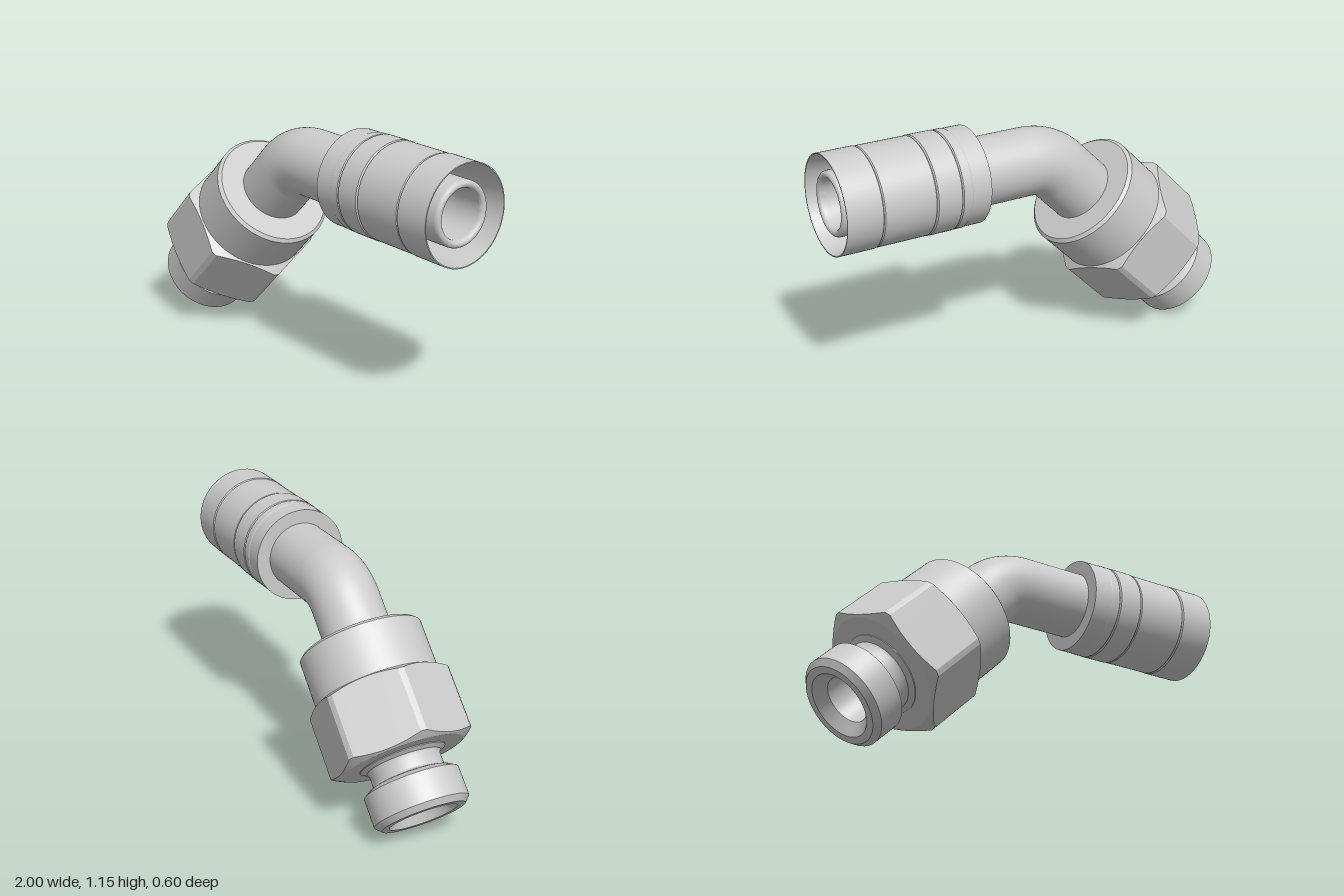
import * as THREE from 'three';
import { toCreasedNormals } from 'three/addons/utils/BufferGeometryUtils.js';

const SEG = 72;
const grey = new THREE.MeshStandardMaterial({ color: 0xcccccc });
const thin = new THREE.MeshStandardMaterial({ color: 0xcccccc, side: THREE.DoubleSide });

function add(parent, name, geometry, material = grey) {
  const mesh = new THREE.Mesh(geometry, material);
  mesh.name = name;
  parent.add(mesh);
  return mesh;
}

// profile: [radius, height] pairs, outside running upwards
function turned(profile) {
  const pts = profile.map(([r, h]) => new THREE.Vector2(r, h));
  return toCreasedNormals(new THREE.LatheGeometry(pts, SEG), 0.5);
}

// Hexagon with blunted corners and conically chamfered ends
function hexNut(bottom, top, apothem, blunt, turn) {
  const n = 144, slope = 0.5, seat = 0.278, hole = 0.12;
  const rows = [
    () => [hole, bottom], () => [seat, bottom],
    r => [r, bottom + slope * (r - seat)], r => [r, top - slope * (r - seat)],
    () => [seat, top], () => [hole, top],
  ];
  const pos = [], index = [];
  for (const row of rows) {
    for (let i = 0; i < n; i++) {
      const a = (i / n) * Math.PI * 2;
      const fromFlat = (a % (Math.PI / 3)) - Math.PI / 6;
      const [r, y] = row(Math.min(apothem / Math.cos(fromFlat), blunt));
      pos.push(r * Math.cos(a + turn), y, r * Math.sin(a + turn));
    }
  }
  for (let j = 0; j < rows.length - 1; j++) {
    for (let i = 0; i < n; i++) {
      const a = j * n + i, b = j * n + (i + 1) % n, c = a + n, d = b + n;
      index.push(a, c, b, b, c, d);
    }
  }
  const g = new THREE.BufferGeometry();
  g.setAttribute('position', new THREE.Float32BufferAttribute(pos, 3));
  g.setIndex(index);
  return toCreasedNormals(g, 0.2);
}

// Centre line: straight, 45 degree bend, straight
function centreLine(start, endX) {
  const v = (x, y) => new THREE.Vector3(x, y, 0);
  const corner = v(-0.075, 0.925), bendIn = v(-0.149, 0.851), bendOut = v(0.03, 0.925);
  const path = new THREE.CurvePath();
  path.add(new THREE.LineCurve3(v(...start), bendIn));
  path.add(new THREE.QuadraticBezierCurve3(bendIn, corner, bendOut));
  path.add(new THREE.LineCurve3(bendOut, v(endX, 0.925)));
  return path;
}

export function createModel() {
  const model = new THREE.Group();
  model.name = 'elbowHoseFitting';

  // Bent pipe and its bore
  add(model, 'bentPipe', new THREE.TubeGeometry(centreLine([-0.35, 0.65], 0.4), 100, 0.157, SEG));
  add(model, 'bore', new THREE.TubeGeometry(centreLine([-0.83, 0.17], 0.95), 140, 0.11, SEG), thin);

  // Angled end: threaded plug, nut and collar share one tilted axis
  const angled = new THREE.Group();
  angled.name = 'angledEnd';
  angled.position.set(-0.5, 0.5, 0);
  angled.rotation.z = -Math.PI / 4;
  model.add(angled);

  add(angled, 'threadedPlug', turned([
    [0.11, -0.46], [0.155, -0.516], [0.19, -0.516], [0.216, -0.49], [0.216, -0.36],
    [0.185, -0.34], [0.168, -0.335], [0.162, -0.325], [0.162, -0.275], [0.168, -0.262],
    [0.195, -0.25], [0.195, -0.23],
  ]));
  add(angled, 'hexNut', hexNut(-0.246, 0.088, 0.29, 0.327, THREE.MathUtils.degToRad(4.5)));
  add(angled, 'collar', turned([
    [0.283, 0.0], [0.283, 0.306], [0.268, 0.32], [0.14, 0.32],
  ]));

  // Straight end: crimp sleeve around the hose nipple
  const straight = new THREE.Group();
  straight.name = 'straightEnd';
  straight.position.y = 0.925;
  straight.rotation.z = -Math.PI / 2;
  model.add(straight);

  add(straight, 'crimpSleeve', turned([
    [0.15, 0.32], [0.222, 0.32], [0.222, 0.412], [0.224, 0.415], [0.224, 0.456],
    [0.218, 0.461], [0.225, 0.466], [0.225, 0.578], [0.218, 0.583], [0.223, 0.588],
    [0.223, 0.826], [0.218, 0.831], [0.225, 0.836], [0.225, 1.0], [0.22, 1.0],
    [0.202, 0.84], [0.2, 0.46], [0.14, 0.46],
  ]));

  // Nipple with a rounded lip
  const nipple = [[0.145, 0.42]];
  for (let i = 0; i <= 10; i++) {
    const a = (i / 10) * Math.PI;
    nipple.push([0.1275 + 0.0175 * Math.cos(a), 0.965 + 0.02 * Math.sin(a)]);
  }
  nipple.push([0.11, 0.94]);
  add(straight, 'hoseNipple', turned(nipple));

  return model;
}
